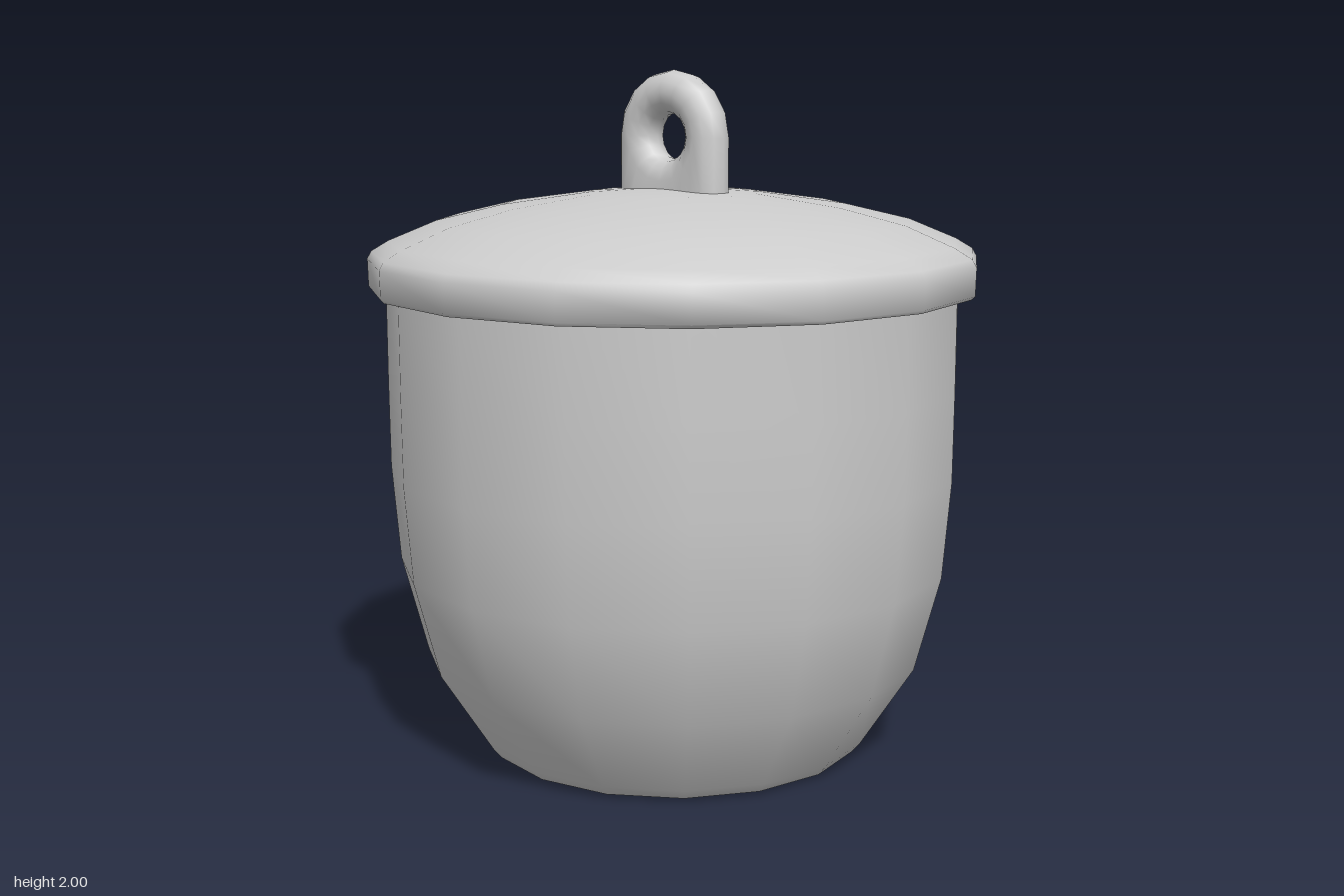
import * as THREE from 'three';
import { toCreasedNormals } from 'three/addons/utils/BufferGeometryUtils.js';

const material = new THREE.MeshStandardMaterial({ color: 0xcccccc });
const SIDES = 16;

function addMesh(group, name, geometry, crease) {
  const mesh = new THREE.Mesh(toCreasedNormals(geometry, crease), material);
  mesh.name = name;
  group.add(mesh);
  return mesh;
}

// Turned part from a [radius, height] profile running from bottom to top
function turned(profile) {
  return new THREE.LatheGeometry(profile.map(([r, y]) => new THREE.Vector2(r, y)), SIDES);
}

// Ring whose lower outer half is pulled down into a solid foot
function ringHandle(R, tube, foot) {
  const around = 16, section = 12;
  const geo = new THREE.TorusGeometry(R, tube, section, around);
  const p = geo.attributes.position;
  const step = (2 * Math.PI) / around;
  for (let j = 0; j <= section; j++) {
    for (let i = 0; i <= around; i++) {
      const k = j * (around + 1) + i;
      const u = i * step;
      const outer = Math.cos((j / section) * 2 * Math.PI) > 0.01;
      if (!outer || Math.sin(u) > -0.01) continue;
      const isLeg = Math.abs(Math.cos(u)) > 0.9;
      p.setX(k, p.getX(k) / Math.cos(step));
      p.setY(k, foot);
      if (!isLeg) p.setZ(k, Math.abs(p.getZ(k)) < 0.001 ? 0 : Math.sign(p.getZ(k)) * tube);
    }
  }
  return geo;
}

export function createModel() {
  const model = new THREE.Group();
  model.name = 'liddedPot';

  // Pot with a narrow foot and straight upper wall
  addMesh(model, 'pot', turned([
    [0, 0.01], [0.53, 0.01], [0.56, 0.02], [0.585, 0.05], [0.74, 0.29],
    [0.815, 0.57], [0.838, 0.85], [0.84, 1.1], [0.84, 1.4],
  ]), 1.0);

  // Domed lid with an overhanging rim
  addMesh(model, 'lid', turned([
    [0.8, 1.37], [0.88, 1.37], [0.89, 1.38], [0.892, 1.46], [0.88, 1.482],
    [0.83, 1.512], [0.69, 1.57], [0.5, 1.615], [0.25, 1.65], [0, 1.665],
  ]), 0.9);

  // Loop handle sunk into the crown of the lid
  addMesh(model, 'handle', ringHandle(0.127, 0.063, -0.21), 0.9).position.y = 1.81;

  // Rest the foot on the ground
  model.children[0].scale.y = 1.4 / 1.39;
  model.children[0].position.y = -0.01 * (1.4 / 1.39);
  return model;
}
